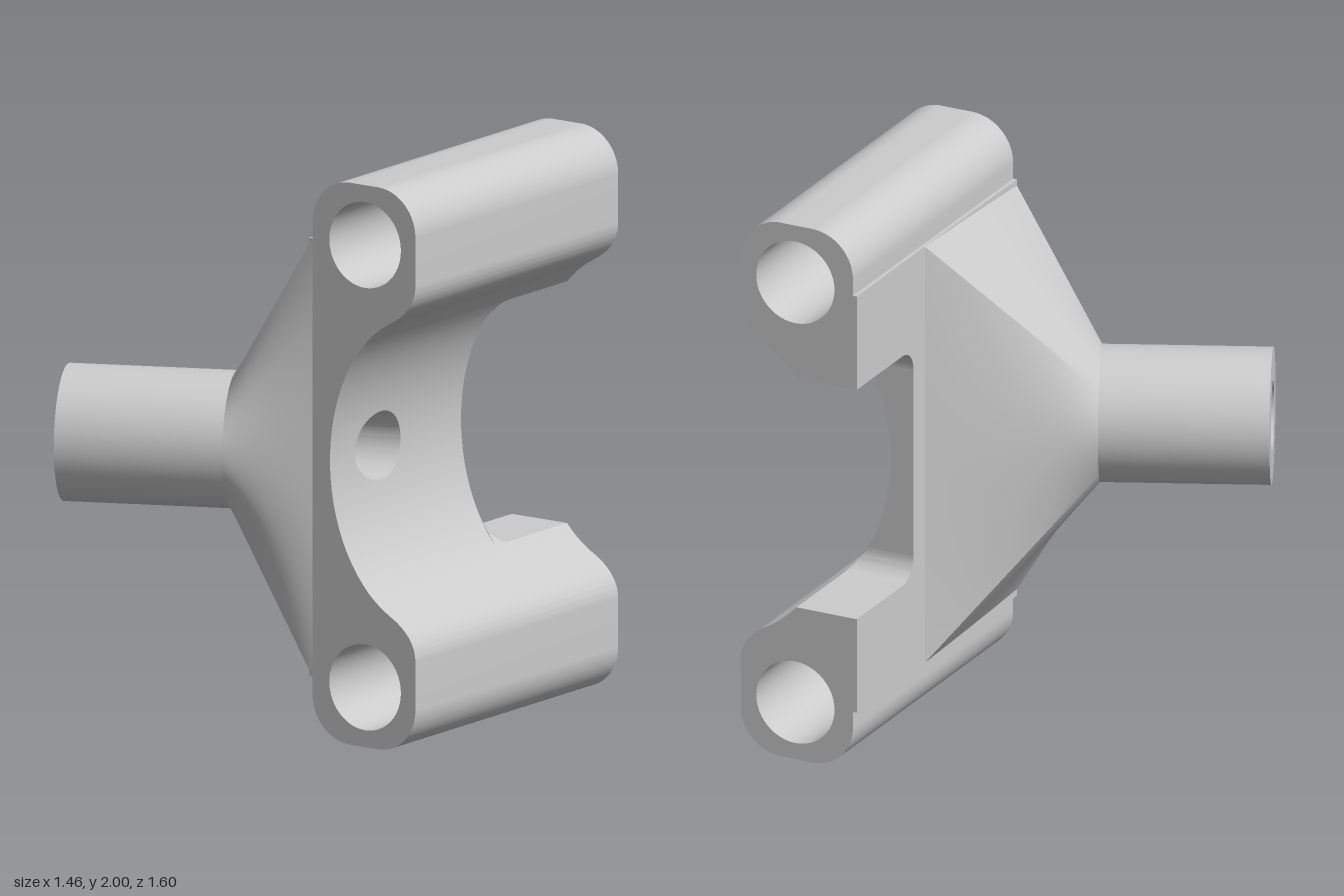
import * as THREE from 'three';
import { toCreasedNormals } from 'three/addons/utils/BufferGeometryUtils.js';

const V = (x, y, z) => new THREE.Vector3(x, y, z);
const material = new THREE.MeshStandardMaterial({ color: 0xcccccc });

const WALL = 0.275, FRONT = 0.4, BACK = -0.8, SLOT_Z = -0.375, SLOT_H = 0.43, MID = 1;
// x of the hollow inner face at height y
const hollow = y => 0.365 + 0.408 * (1 - Math.sqrt(1 - ((y - MID) / 0.561) ** 2));

// Socket axis and frame
const tilt = 25 * Math.PI / 180;
const axis = V(Math.cos(tilt), 0, -Math.sin(tilt));
const side = V(Math.sin(tilt), 0, Math.cos(tilt));
const base = V(-0.09, MID, 0.33);
const SOCKET_LEN = 0.595, SOCKET_R = 0.24, BORE_R = 0.122;

const ringPoint = (a, r, t) => base.clone().addScaledVector(axis, t)
  .addScaledVector(side, r * Math.cos(a)).add(V(0, r * Math.sin(a), 0));

function mesh(name, geometry) {
  const m = new THREE.Mesh(toCreasedNormals(geometry, 0.5), material);
  m.name = name;
  return m;
}

// Surface through rows of points
function grid(rows) {
  const n = rows[0].length, index = [];
  for (let i = 0; i < rows.length - 1; i++) {
    for (let j = 0; j < n - 1; j++) {
      const a = i * n + j, b = a + n;
      index.push(a, b, a + 1, a + 1, b, b + 1);
    }
  }
  const g = new THREE.BufferGeometry().setFromPoints(rows.flat());
  g.setIndex(index);
  return g;
}

// Points along a closed polygon, n per side, first point repeated at the end
function perimeter(corners, n) {
  const pts = [];
  corners.forEach((c, k) => {
    const next = corners[(k + 1) % corners.length];
    for (let i = 0; i < n; i++) pts.push(c.clone().lerp(next, i / n));
  });
  return [...pts, pts[0].clone()];
}

// Rail: rounded section with a lengthwise hole
function railGeometry() {
  const s = new THREE.Shape();
  s.moveTo(WALL, MID + SLOT_H);
  for (let i = 0; i <= 6; i++) {
    const y = MID + SLOT_H + 0.09 * i / 6;
    s.lineTo(hollow(y), y);
  }
  s.quadraticCurveTo(0.73, 1.58, 0.73, 1.67);
  s.lineTo(0.73, 1.84);
  s.absarc(0.57, 1.84, 0.16, 0, Math.PI / 2, false);
  s.lineTo(0.45, 2);
  s.absarc(0.45, 1.84, 0.16, Math.PI / 2, Math.PI, false);
  s.lineTo(0.29, 1.78);
  s.lineTo(WALL, 1.78);
  s.closePath();
  s.holes.push(new THREE.Path().absarc(0.515, 1.787, 0.153, 0, Math.PI * 2, true));
  return new THREE.ExtrudeGeometry(s, { depth: FRONT - BACK, bevelEnabled: false, curveSegments: 24 })
    .translate(0, 0, BACK);
}

// Rounded inner corner of the rear slot, following the hollow face
function slotFillet(sign) {
  const r = 0.08, s = new THREE.Shape();
  s.moveTo(-SLOT_Z, MID + sign * SLOT_H);
  for (let i = 0; i <= 12; i++) {
    const a = Math.PI / 2 * (1 + i / 12);
    s.lineTo(-SLOT_Z + r + r * Math.cos(a), MID + sign * (SLOT_H - r + r * Math.sin(a)));
  }
  s.closePath();
  const g = new THREE.ExtrudeGeometry(s, { depth: 1, bevelEnabled: false }).rotateY(Math.PI / 2);
  const p = g.attributes.position;
  for (let i = 0; i < p.count; i++) {
    p.setX(i, WALL + p.getX(i) * (hollow(p.getY(i)) - WALL));
  }
  return g;
}

export function createModel() {
  const model = new THREE.Group();
  model.name = 'bracket';

  // Upper and lower rails
  model.add(mesh('upperRail', railGeometry()));
  model.add(mesh('lowerRail', railGeometry().rotateX(Math.PI).translate(0, 2 * MID, FRONT + BACK)));

  // Web between the rails: hollow face with the bore opening
  const web = new THREE.Group();
  web.name = 'web';
  const lo = MID - SLOT_H, hi = MID + SLOT_H;
  const edge = perimeter([V(0, lo, FRONT), V(0, hi, FRONT), V(0, hi, SLOT_Z), V(0, lo, SLOT_Z)], 24);
  const boreAngles = edge.map(p => Math.atan2(p.y - MID, p.z - 0.115));
  const rim = boreAngles.map(a => {
    const p = ringPoint(a, BORE_R, 0);
    return p.addScaledVector(axis, (hollow(p.y) - p.x) / axis.x);
  });
  const faceRows = [];
  for (let i = 0; i <= 14; i++) {
    faceRows.push(edge.map((p, j) => {
      const q = p.clone().lerp(rim[j], i / 14);
      return q.setX(hollow(q.y));
    }));
  }
  web.add(mesh('hollowFace', grid(faceRows)));

  // Web ends and the strip of outer wall behind the neck
  const heights = Array.from({ length: 25 }, (_, i) => lo + (hi - lo) * i / 24);
  const wallRow = z => heights.map(y => V(WALL, y, z));
  const hollowRow = z => heights.map(y => V(hollow(y), y, z));
  web.add(mesh('webFront', grid([wallRow(FRONT), hollowRow(FRONT)])));
  web.add(mesh('webBack', grid([hollowRow(SLOT_Z), wallRow(SLOT_Z)])));
  web.add(mesh('webWall', grid([wallRow(SLOT_Z), wallRow(-0.28)])));
  for (const sign of [1, -1]) web.add(mesh('slotFillet', slotFillet(sign)));
  model.add(web);

  // Round socket with its bore running through to the hollow face
  const ring = (r, t) => boreAngles.map(a => ringPoint(a, r, t));
  model.add(mesh('bore', grid([rim, ring(BORE_R, -SOCKET_LEN)])));
  model.add(mesh('socketEnd', grid([ring(BORE_R, -SOCKET_LEN), ring(SOCKET_R, -SOCKET_LEN)])));
  const turn = Array.from({ length: 73 }, (_, i) => i / 72 * Math.PI * 2);
  model.add(mesh('socket', grid([-SOCKET_LEN, 0].map(t => turn.map(a => ringPoint(a, SOCKET_R, t))))));

  // Neck: ruled loft from the socket circle to a rectangle on the web
  const n = 24;
  const foot = perimeter([V(0.29, 0.22, FRONT), V(0.29, 1.78, FRONT),
    V(WALL, 1.78, -0.29), V(WALL, 0.22, -0.29)], n);
  const stops = [-68, 68, 137, 223, 292];
  const collar = foot.map((_, i) => {
    const k = Math.min(3, Math.floor(i / n));
    const deg = THREE.MathUtils.lerp(stops[k], stops[k + 1], i / n - k);
    return ringPoint(deg * Math.PI / 180, SOCKET_R, 0);
  });
  const neckRows = [];
  for (let i = 0; i <= 8; i++) neckRows.push(collar.map((p, j) => p.clone().lerp(foot[j], i / 8)));
  model.add(mesh('neck', grid(neckRows)));

  return model;
}
